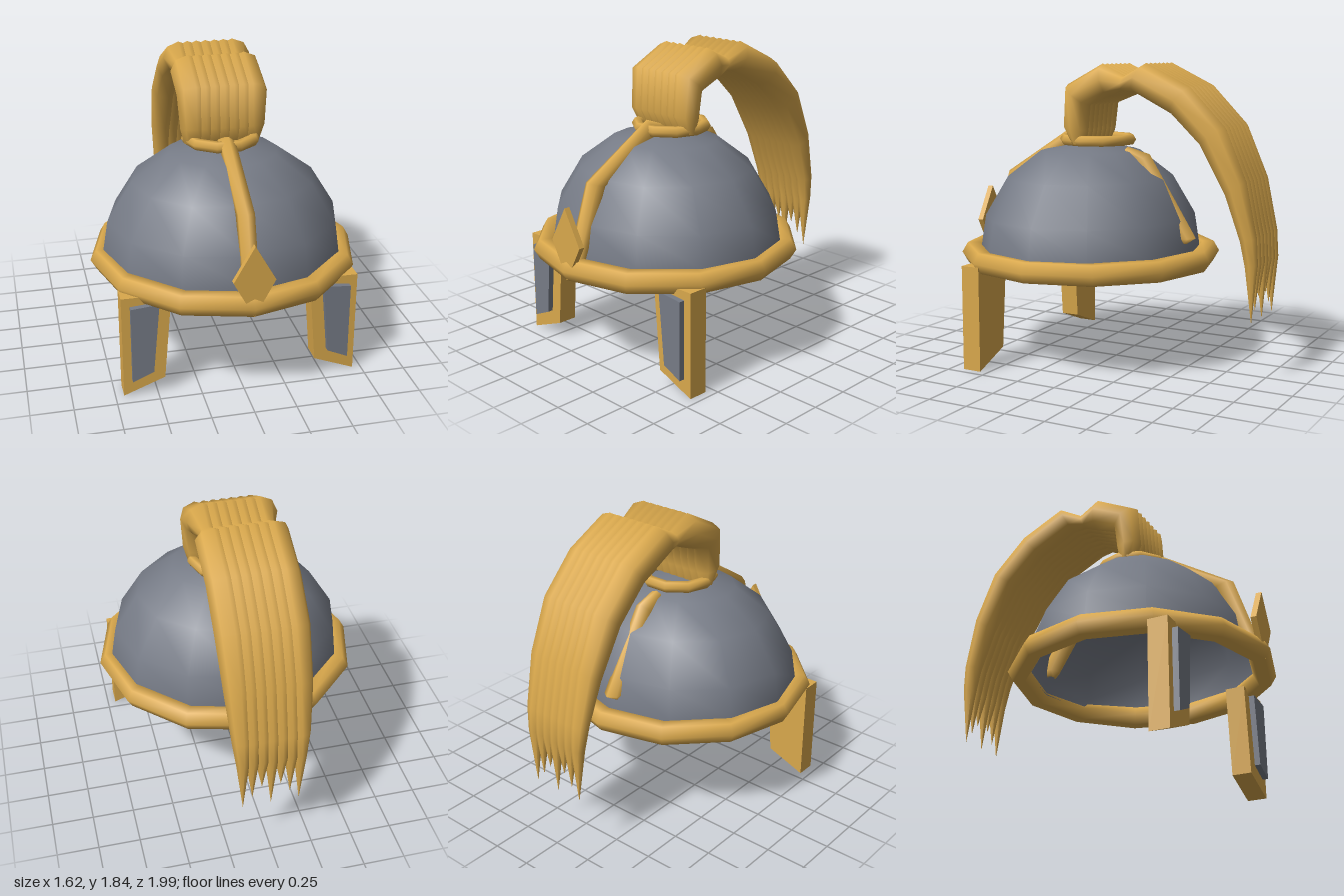
import * as THREE from 'three';

const gold = new THREE.MeshStandardMaterial({ color: 0xd9a84c });
gold.name = 'gold';
const steel = new THREE.MeshStandardMaterial({ color: 0x767b86, side: THREE.DoubleSide });
steel.name = 'steel';

function part(name, geometry, material, x = 0, y = 0, z = 0) {
  const mesh = new THREE.Mesh(geometry, material);
  mesh.name = name;
  mesh.position.set(x, y, z);
  return mesh;
}

// Smooth tube through sections [outerZ, outerY, innerZ, innerY, halfWidth]
function loft(sections, sides) {
  const pos = [], idx = [];
  sections.forEach(([oz, oy, iz, iy, w], i) => {
    for (let j = 0; j < sides; j++) {
      const t = (j / sides) * Math.PI * 2, c = Math.cos(t) / 2;
      pos.push(Math.sin(t) * w, (oy + iy) / 2 + c * (oy - iy), (oz + iz) / 2 + c * (oz - iz));
      if (i === sections.length - 1) continue;
      const a = i * sides + j, b = i * sides + (j + 1) % sides;
      idx.push(a, b, a + sides, b, b + sides, a + sides);
    }
  });
  const g = new THREE.BufferGeometry();
  g.setAttribute('position', new THREE.Float32BufferAttribute(pos, 3));
  g.setIndex(idx);
  g.computeVertexNormals();
  return g;
}

// Flat plate cut from an outline in x, y
function plate(points, depth) {
  const shape = new THREE.Shape(points.map(([x, y]) => new THREE.Vector2(x, y)));
  return new THREE.ExtrudeGeometry(shape, { depth, bevelEnabled: false });
}

function ring(radius, tube, around) {
  return new THREE.TorusGeometry(radius, tube, 6, around).rotateX(Math.PI / 2);
}

export function createModel() {
  const group = new THREE.Group();
  group.name = 'helmet';

  // Open dome
  const profile = [[0.735, 0.65], [0.73, 0.72], [0.7, 0.9], [0.55, 1.14], [0.33, 1.3], [0.1, 1.34], [0, 1.345]];
  const dome = new THREE.LatheGeometry(profile.map(([r, y]) => new THREE.Vector2(r, y)), 12);
  dome.scale(1, 1, 0.915);
  group.add(part('dome', dome, steel, 0, 0, 0.18));

  // Rim and plume collar
  group.add(part('rim', ring(0.74, 0.07, 12), gold, 0, 0.66, 0.18));
  group.add(part('plumeCollar', ring(0.205, 0.035, 10), gold, 0, 1.37, 0.13));

  // Ridge strips down the front and the back
  group.add(part('frontRidge', loft([
    [0.94, 0.68, 0.84, 0.68, 0.05], [0.79, 1.14, 0.67, 1.1, 0.055],
    [0.33, 1.43, 0.3, 1.3, 0.05], [0.19, 1.38, 0.19, 1.33, 0.04],
  ], 6), gold));
  group.add(part('backRidge', loft([
    [-0.08, 1.33, -0.08, 1.28, 0.04], [-0.23, 1.29, -0.15, 1.19, 0.055],
    [-0.54, 0.8, -0.4, 0.79, 0.055], [-0.48, 0.76, -0.44, 0.76, 0.03],
  ], 6), gold));

  // Brow diamond
  const diamond = [[0, 0.6], [0.12, 0.82], [0, 1.03], [-0.12, 0.82]];
  group.add(part('browDiamond', plate(diamond, 0.035), gold, 0, 0, 0.925));

  // Cheek guards with steel insets
  const guard = [[0.41, 0.64], [0.455, 0.1], [0.7, 0.005], [0.7, 0.64]];
  const inset = [[0.485, 0.6], [0.525, 0.165], [0.65, 0.11], [0.65, 0.585]];
  for (const [side, s] of [['left', 1], ['right', -1]]) {
    const mirror = (pts) => pts.map(([x, y]) => [x * s, y]);
    group.add(part(side + 'CheekGuard', plate(mirror(guard), 0.12), gold, 0, 0, 0.55));
    group.add(part(side + 'CheekInset', plate(mirror(inset), 0.04), steel, 0, 0, 0.665));
  }

  // Plume of seven overlapping strands, pinched at the crown and tapering to points
  const plume = new THREE.Group();
  plume.name = 'plume';
  const tips = [0.36, 0.43, 0.5, 0.36, 0.5, 0.43, 0.36];
  tips.forEach((tip, i) => {
    const strand = loft([
      [0.2, 1.35, 0.13, 1.35, 0.06], [0.26, 1.46, 0.105, 1.43, 0.085],
      [0.24, 1.71, 0.09, 1.585, 0.1], [0, 1.835, -0.05, 1.64, 0.1],
      [-0.15, 1.765, -0.13, 1.675, 0.055], [-0.29, 1.84, -0.21, 1.67, 0.1],
      [-0.57, 1.705, -0.45, 1.55, 0.1], [-0.79, 1.48, -0.64, 1.37, 0.1],
      [-0.92, 1.18, -0.8, 1.09, 0.085], [-0.99, 0.86, -0.89, 0.84, 0.06],
      [-1, 0.71, -0.92, 0.69, 0.04], [-0.965, tip, -0.965, tip, 0],
    ], 8);
    plume.add(part('plumeStrand', strand, gold, (i - 3) * 0.056));
  });
  group.add(plume);

  return group;
}
